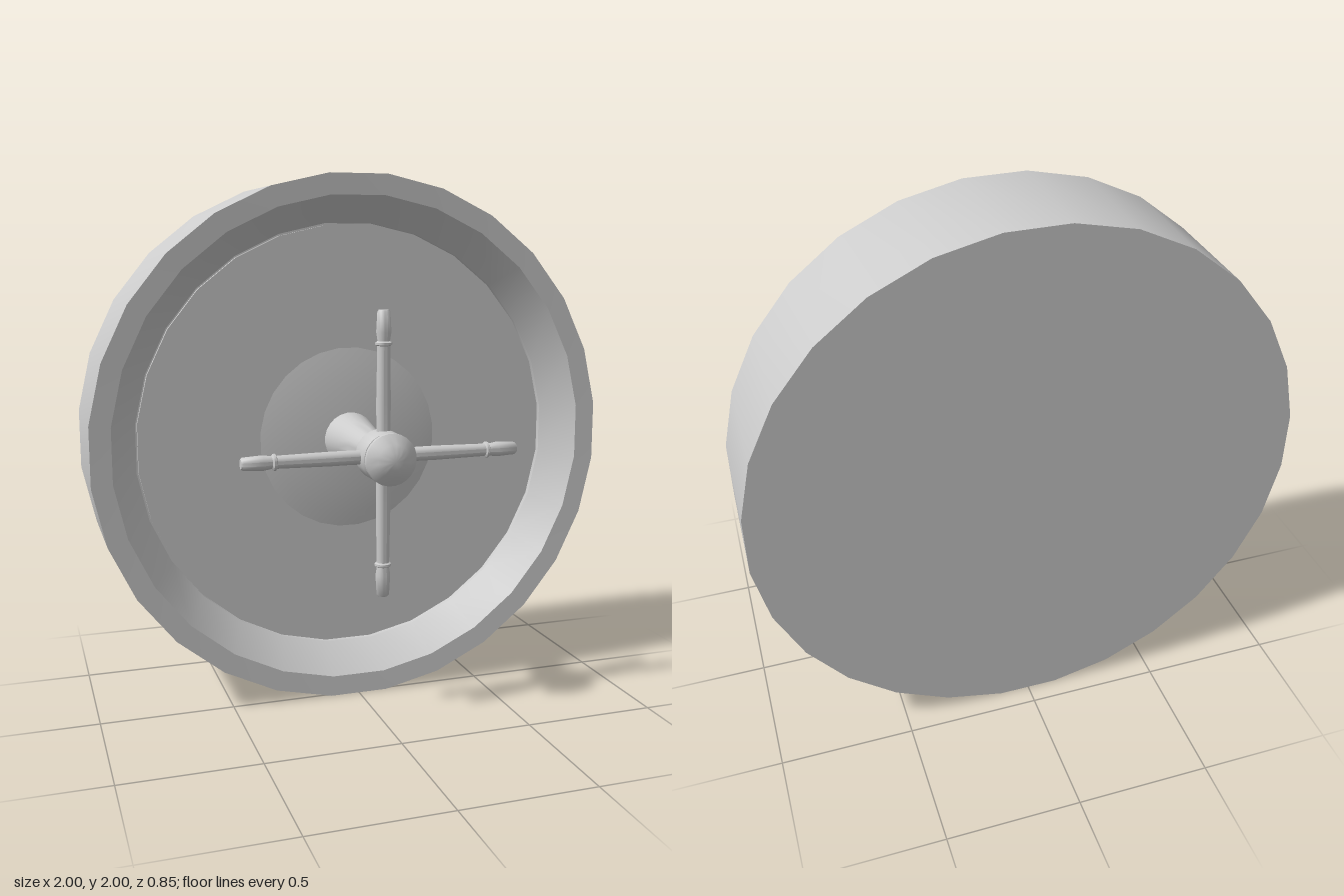
import * as THREE from 'three';
import { toCreasedNormals } from 'three/addons/utils/BufferGeometryUtils.js';

const material = new THREE.MeshStandardMaterial({ color: 0xcccccc });

// Turn a profile of [radius, z] pairs around the z axis
function turned(name, profile, sides, crease = 0.6) {
  const points = profile.map(([r, z]) => new THREE.Vector2(r, z));
  const lathe = new THREE.LatheGeometry(points, sides, Math.PI / sides);
  lathe.rotateX(Math.PI / 2);
  const mesh = new THREE.Mesh(toCreasedNormals(lathe, crease), material);
  mesh.name = name;
  return mesh;
}

export function createModel() {
  const model = new THREE.Group();
  model.name = 'roundHatch';

  const door = new THREE.Group();
  door.name = 'door';
  door.position.y = 1;
  model.add(door);

  // Thick drum with a flat back, a flat rim and a deep sloped recess in front
  door.add(turned('drum', [
    [0, -0.425], [1.006, -0.425], [1.006, 0.015], [0.928, 0.012],
    [0.828, -0.115], [0.828, -0.135], [0, -0.135],
  ], 28));

  // Floor panel, set in with a thin gap around it
  door.add(turned('frontPanel', [[0.82, -0.135], [0.82, -0.12], [0, -0.12]], 28));

  // Shallow swelling around the hub
  door.add(turned('centreSwelling', [
    [0.36, -0.121], [0.3, -0.112], [0.2, -0.102], [0.1, -0.096], [0, -0.094],
  ], 28));

  // Flared stem, round hub and bevelled knob
  door.add(turned('hub', [
    [0.105, -0.11], [0.085, 0.015], [0.072, 0.1], [0.06, 0.19], [0.07, 0.208],
    [0.086, 0.235], [0.093, 0.255], [0.093, 0.32], [0.086, 0.335],
    [0.074, 0.338], [0.074, 0.352], [0.088, 0.356], [0.094, 0.364],
    [0.094, 0.378], [0.06, 0.407], [0.03, 0.421], [0, 0.424],
  ], 24, 0.6));

  // Four spokes, each with a collar and a tapered grip
  const spokes = new THREE.Group();
  spokes.name = 'spokes';
  spokes.position.z = 0.29;
  for (let i = 0; i < 4; i++) {
    const turn = new THREE.Group();
    turn.name = 'spoke' + (i + 1);
    turn.rotation.z = i * Math.PI / 2;
    const spoke = turned('spokeBar', [
      [0.025, 0.04], [0.026, 0.2], [0.023, 0.38], [0.023, 0.392],
      [0.03, 0.396], [0.03, 0.404], [0.022, 0.409], [0.027, 0.44],
      [0.023, 0.512], [0.018, 0.518], [0, 0.518],
    ], 12, 0.8);
    spoke.rotation.x = -Math.PI / 2;
    turn.add(spoke);
    spokes.add(turn);
  }
  door.add(spokes);

  return model;
}
